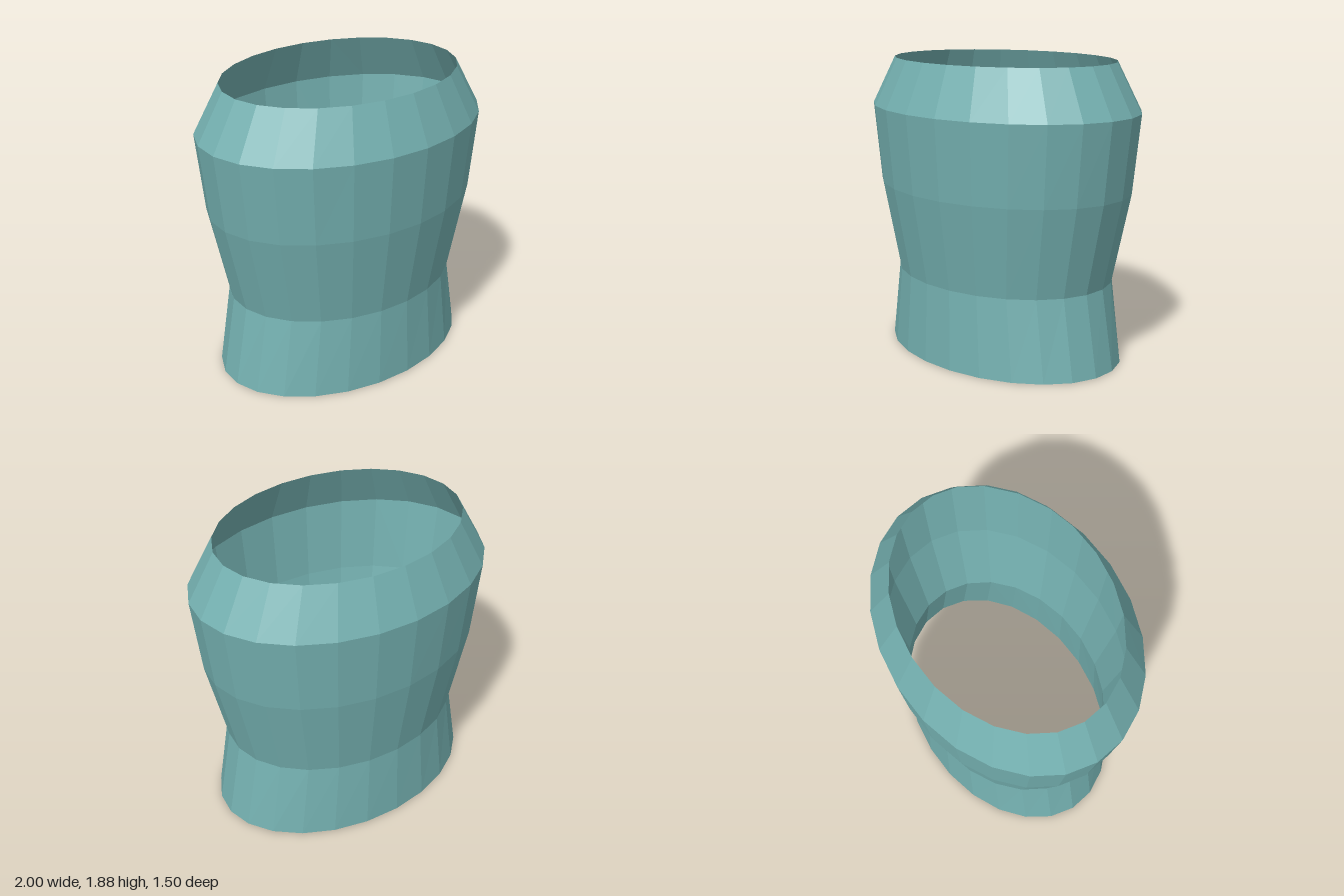
import * as THREE from 'three';

// Rings from top to bottom: height, half width (x), half depth (z)
const RINGS = [
  [1.885, 0.825, 0.62],
  [1.58, 1.0, 0.75],
  [1.08, 0.94, 0.71],
  [0.505, 0.805, 0.615],
  [0, 0.9, 0.635],
];
const SIDES = 24;

export function createModel() {
  const group = new THREE.Group();
  group.name = 'torsoShell';

  const teal = new THREE.MeshStandardMaterial({
    name: 'teal', color: 0x74b0b0, flatShading: true, side: THREE.DoubleSide,
  });

  // Open faceted tube, each row of vertices scaled to its elliptical ring
  const tube = new THREE.CylinderGeometry(1, 1, 1, SIDES, RINGS.length - 1, true);
  const pos = tube.attributes.position;
  for (let i = 0; i < pos.count; i++) {
    const [y, rx, rz] = RINGS[Math.floor(i / (SIDES + 1))];
    pos.setXYZ(i, pos.getX(i) * rx, y, pos.getZ(i) * rz);
  }
  const shell = tube.toNonIndexed();
  shell.computeVertexNormals();

  const body = new THREE.Mesh(shell, teal);
  body.name = 'shell';
  group.add(body);
  return group;
}
